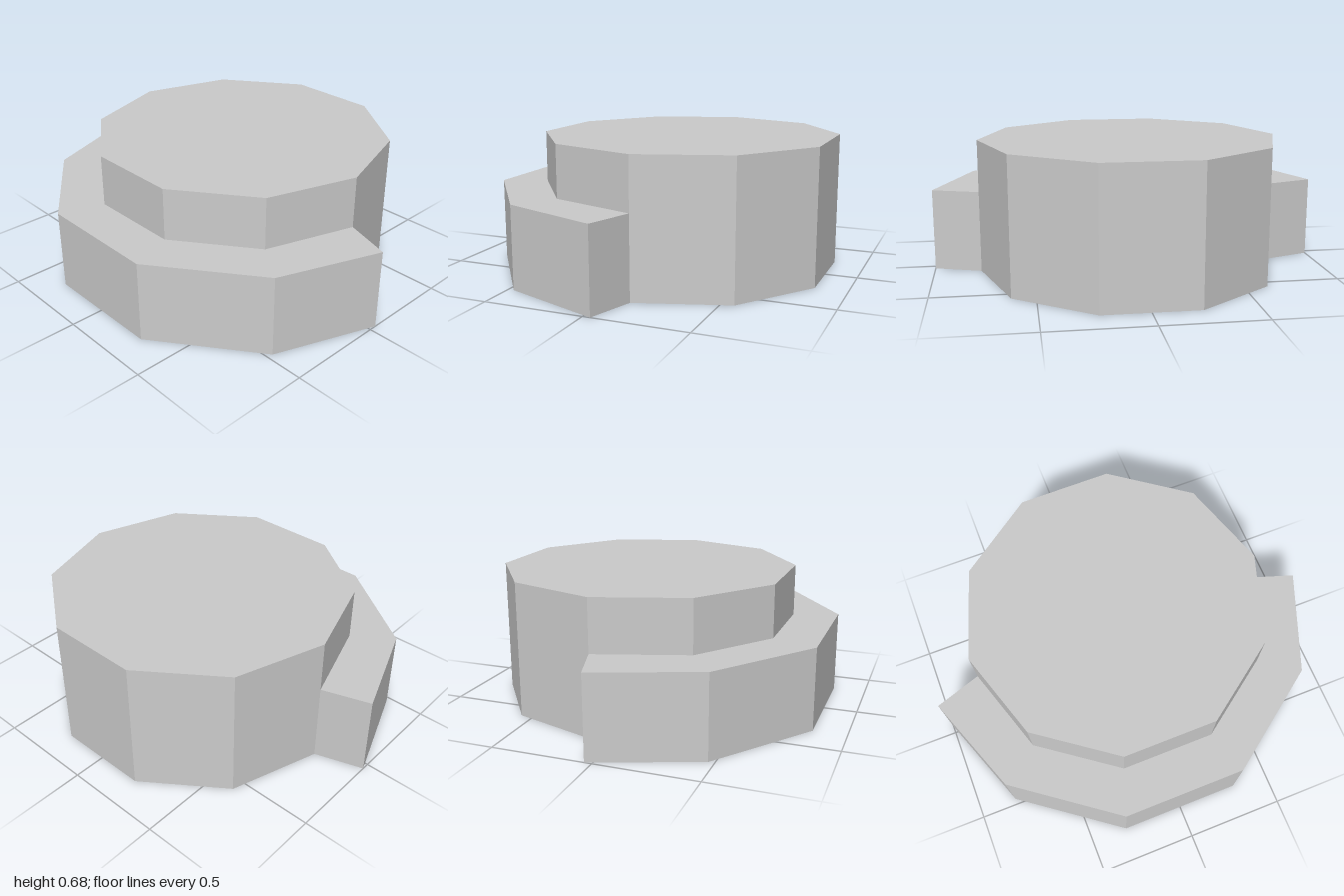
import * as THREE from 'three';

const material = new THREE.MeshStandardMaterial({ color: 0xcccccc, flatShading: true });

// Vertical prism over a plan outline of [x, z] points
function prism(name, outline, height) {
  const shape = new THREE.Shape(outline.map(([x, z]) => new THREE.Vector2(x, -z)));
  const geometry = new THREE.ExtrudeGeometry(shape, { depth: height, bevelEnabled: false });
  geometry.rotateX(-Math.PI / 2);
  const mesh = new THREE.Mesh(geometry, material);
  mesh.name = name;
  return mesh;
}

export function createModel() {
  const model = new THREE.Group();
  model.name = 'steppedPlatform';

  // Ten-sided platform, flat edges to front and back
  const radius = 0.763, centreZ = -0.115;
  const decagon = Array.from({ length: 10 }, (_, i) => {
    const a = (i * Math.PI) / 5;
    return [radius * Math.cos(a), centreZ + radius * Math.sin(a)];
  });
  model.add(prism('platform', decagon, 0.68));

  // Lower step wrapped around the front half of the platform
  const leftSide = [[1, -0.037], [0.81, 0.47], [0.312, 0.835]];
  const rightSide = leftSide.map(([x, z]) => [-x, z]).reverse();
  const innerEdge = decagon.slice(0, 6).reverse();
  model.add(prism('frontStep', [...leftSide, ...rightSide, ...innerEdge], 0.415));

  return model;
}
